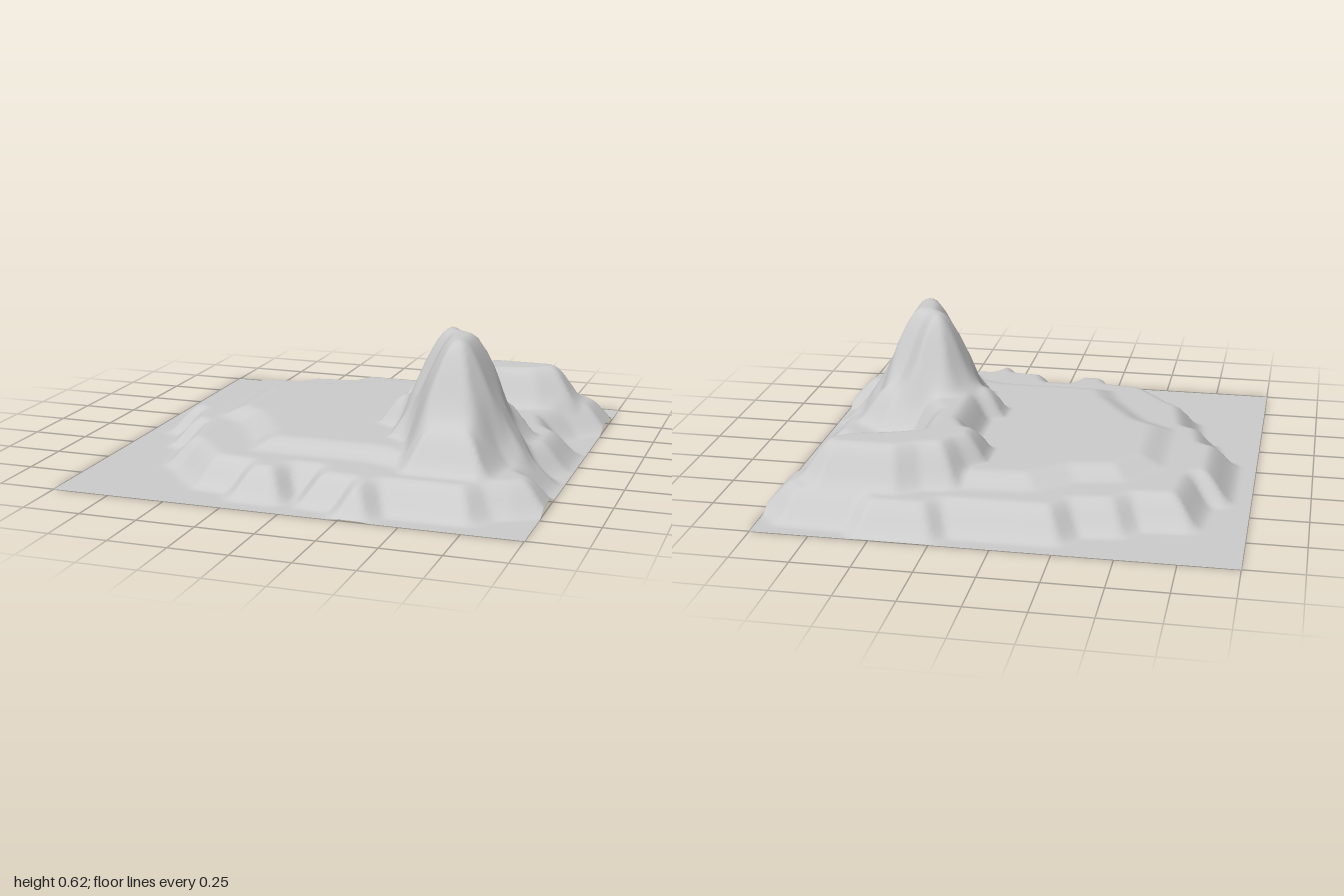
import * as THREE from 'three';

// Terrace outlines as [x, z] corners, taken halfway up each slope
const lowland = [
  [-0.86, -0.36], [-0.86, 0.02], [-0.79, 0.06], [-0.76, 0.22], [-0.69, 0.26], [-0.65, 0.5],
  [-0.58, 0.56], [-0.5, 0.66], [-0.42, 0.75], [-0.26, 0.77], [-0.22, 0.85], [-0.07, 0.85],
  [-0.03, 0.75], [0.04, 0.75], [0.08, 0.85], [0.22, 0.86], [0.26, 0.94], [0.33, 0.94],
  [0.38, 0.85], [0.73, 0.85], [0.79, 0.76], [0.88, 0.72], [0.97, 0.66], [0.97, 0.55],
  [0.9, 0.48], [0.92, 0.3], [0.86, 0.2], [0.92, 0.08], [0.92, -0.14], [0.84, -0.24],
  [0.8, -0.36], [0.86, -0.48], [0.97, -0.6], [0.97, -0.76], [0.88, -0.86],
  [0.6, -0.87], [0.54, -0.93], [0.27, -0.93], [0.22, -0.86], [-0.24, -0.86], [-0.3, -0.76],
  [-0.48, -0.74], [-0.54, -0.66], [-0.75, -0.64], [-0.78, -0.38],
];
const plateau = [
  [-0.57, -0.3], [-0.57, 0.1], [-0.45, 0.18], [-0.38, 0.28], [-0.28, 0.44], [-0.24, 0.55],
  [0.25, 0.55], [0.4, 0.6], [0.4, -0.66], [-0.1, -0.63], [-0.25, -0.5], [-0.45, -0.46],
];
const ridge = [
  [0.2, -0.34], [0.23, -0.28], [0.23, 0], [0.17, 0.04], [0.17, 0.14], [0.26, 0.2],
  [0.28, 0.34], [0.37, 0.4], [0.42, 0.58], [0.46, 0.65], [0.72, 0.65], [0.75, 0.45],
  [0.81, 0.36], [0.8, 0.24], [0.74, 0.16], [0.76, 0.02], [0.66, -0.06], [0.5, -0.1],
  [0.44, -0.22], [0.44, -0.42], [0.55, -0.46], [0.7, -0.5], [0.82, -0.58],
  [0.82, -0.68], [0.75, -0.74], [0.45, -0.74], [0.36, -0.68], [0.24, -0.66], [0.2, -0.56], [0.14, -0.5], [0.14, -0.36],
];
const peak = [
  [0.38, 0.1], [0.42, 0.04], [0.52, 0.04], [0.57, 0.12], [0.65, 0.17],
  [0.66, 0.38], [0.62, 0.46], [0.5, 0.46], [0.45, 0.36], [0.43, 0.26], [0.38, 0.2],
];

// Signed distance to an outline, positive inside
function insideDistance(outline, x, z) {
  let nearest = Infinity, inside = false;
  outline.forEach(([ax, az], i) => {
    const [bx, bz] = outline[(i + 1) % outline.length];
    const dx = bx - ax, dz = bz - az;
    const t = THREE.MathUtils.clamp(((x - ax) * dx + (z - az) * dz) / (dx * dx + dz * dz), 0, 1);
    nearest = Math.min(nearest, Math.hypot(x - ax - t * dx, z - az - t * dz));
    if ((az > z) !== (bz > z) && x < ax + (dx * (z - az)) / dz) inside = !inside;
  });
  return inside ? nearest : -nearest;
}

// Soft rise from 0 to 1 across the edge of a terrace
const rise = (outline, x, z, inner, outer = inner) =>
  THREE.MathUtils.smoothstep(insideDistance(outline, x, z), -outer, inner);

function heightAt(x, z) {
  const base = 0.125 * rise(lowland, x, z, 0.08);
  const step = Math.max(0.045 * rise(plateau, x, z, 0.07), 0.165 * rise(ridge, x, z, 0.08));
  return base + step + 0.325 * rise(peak, x, z, 0.09, 0.13);
}

export function createModel() {
  const group = new THREE.Group();
  group.name = 'landscape';

  // One square sheet, lifted into terraces and a peak
  const sheet = new THREE.PlaneGeometry(2, 2, 120, 120).rotateX(-Math.PI / 2);
  const pos = sheet.attributes.position;
  for (let i = 0; i < pos.count; i++) pos.setY(i, heightAt(pos.getX(i), pos.getZ(i)));
  sheet.computeVertexNormals();

  const terrain = new THREE.Mesh(
    sheet,
    new THREE.MeshStandardMaterial({ color: 0xcccccc, side: THREE.DoubleSide }),
  );
  terrain.name = 'terrain';
  group.add(terrain);
  return group;
}
